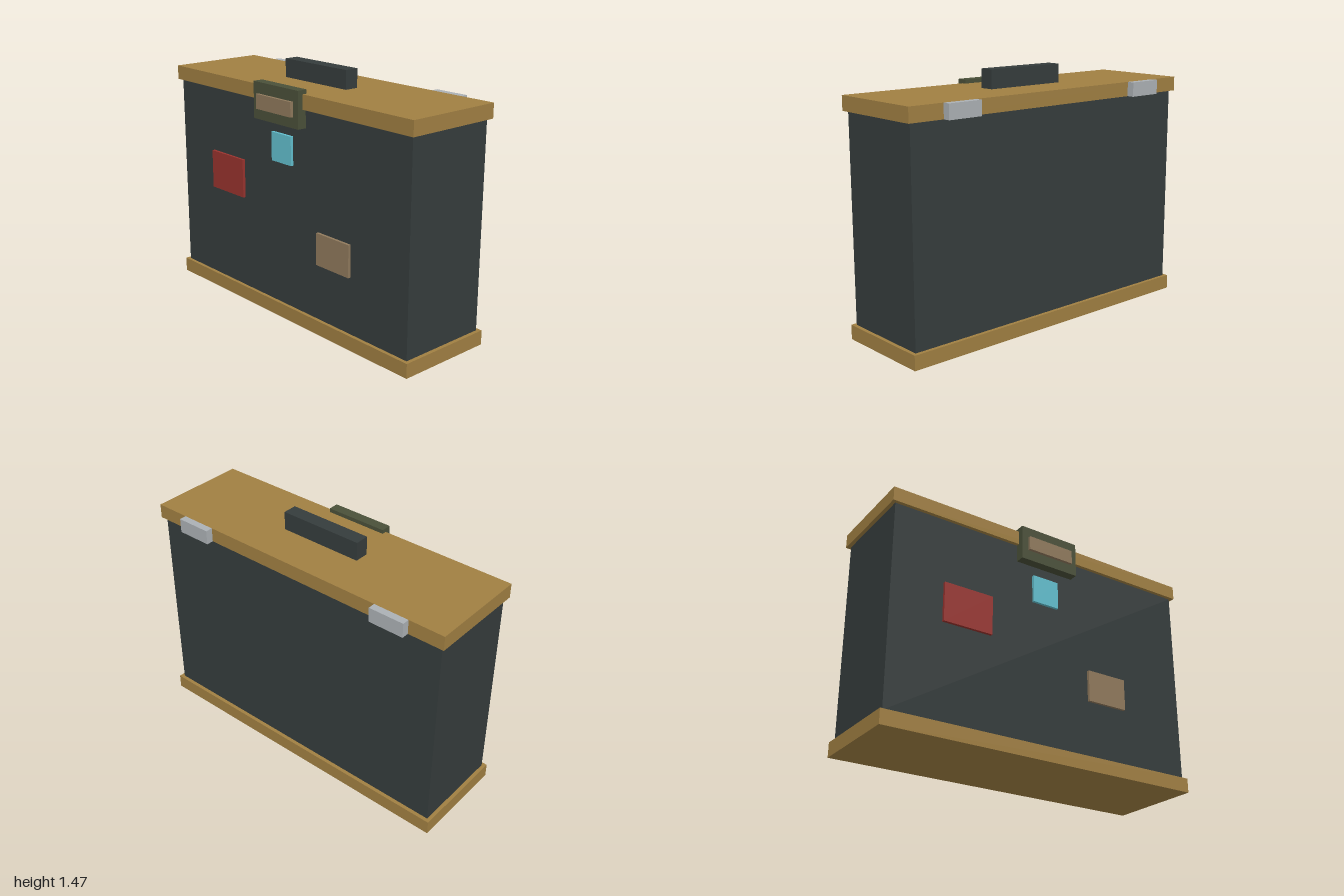
import * as THREE from 'three';

const mat = (name, color) => {
  const m = new THREE.MeshStandardMaterial({ color });
  m.name = name;
  return m;
};

export function createModel() {
  const group = new THREE.Group();
  const charcoal = mat('charcoal', 0x353c3c);
  const brass = mat('brass', 0xa07f42);
  const olive = mat('olive', 0x4a5039);
  const tan = mat('tan', 0x8f795c);
  const red = mat('red', 0x98332e);
  const cyan = mat('cyan', 0x62bfce);
  const steel = mat('steel', 0xabb0b4);

  // Box given by its extents along each axis
  const box = (name, material, [x0, x1], [y0, y1], [z0, z1]) => {
    const mesh = new THREE.Mesh(new THREE.BoxGeometry(x1 - x0, y1 - y0, z1 - z0), material);
    mesh.position.set((x0 + x1) / 2, (y0 + y1) / 2, (z0 + z1) / 2);
    mesh.name = name;
    group.add(mesh);
  };

  // Case body between two overhanging slabs
  const slabZ = [-0.303, 0.294];
  box('body', charcoal, [-0.978, 0.978], [0.085, 1.28], [-0.281, 0.273]);
  box('base', brass, [-1, 1], [0, 0.085], slabZ);
  box('lid', brass, [-1, 1], [1.28, 1.364], slabZ);

  // Carrying handle
  box('handle', charcoal, [-0.256, 0.256], [1.364, 1.473], [-0.045, 0.04]);

  // Front latch with its plate
  box('latch', olive, [-0.191, 0.191], [1.175, 1.387], [0.266, 0.328]);
  box('latchPlate', tan, [-0.149, 0.149], [1.237, 1.322], [0.328, 0.346]);

  // Stickers on the front panel
  const stickerZ = [0.273, 0.29];
  box('redSticker', red, [-0.665, -0.362], [0.653, 0.886], stickerZ);
  box('cyanSticker', cyan, [-0.086, 0.083], [0.942, 1.11], stickerZ);
  box('tanSticker', tan, [0.293, 0.552], [0.418, 0.606], stickerZ);

  // Back hinges
  for (const x of [-0.68, 0.68]) {
    box(x < 0 ? 'rightHinge' : 'leftHinge', steel, [x - 0.106, x + 0.106], [1.28, 1.364], [-0.346, -0.303]);
  }
  return group;
}
